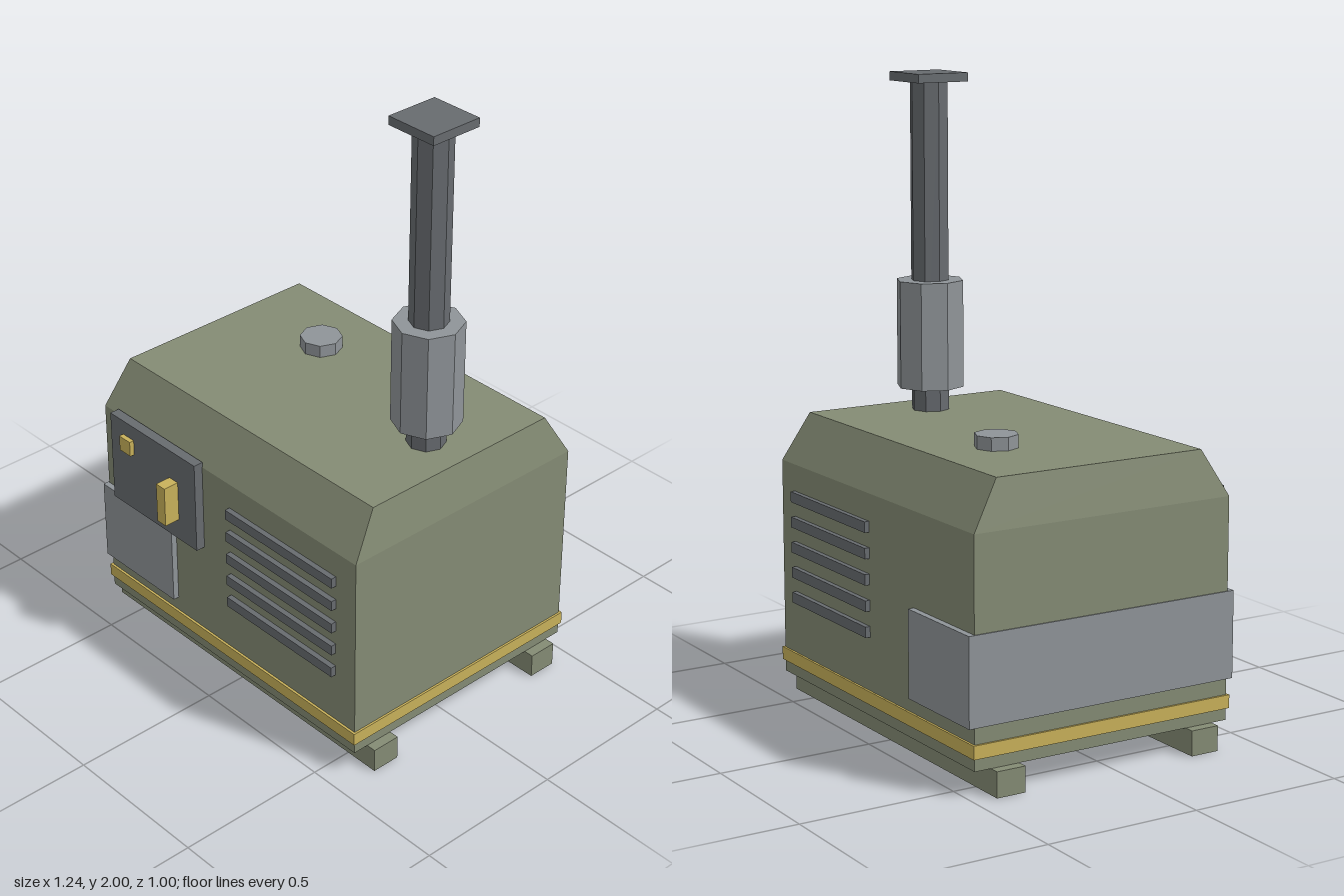
import * as THREE from 'three';

const mat = (name, color) => {
  const m = new THREE.MeshStandardMaterial({ color });
  m.name = name;
  m.flatShading = true;
  return m;
};

export function createModel() {
  const model = new THREE.Group();
  model.name = 'generator';
  const olive = mat('olive paint', 0x848b74);
  const yellow = mat('yellow paint', 0xc8b15a);
  const dark = mat('dark metal', 0x676b6f);
  const grey = mat('light metal', 0x8f9498);

  const add = (name, geometry, material) => {
    const mesh = new THREE.Mesh(geometry, material);
    mesh.name = name;
    model.add(mesh);
    return mesh;
  };
  // Box given by its extents on each axis
  const box = (name, m, x0, x1, y0, y1, z0, z1) =>
    add(name, new THREE.BoxGeometry(x1 - x0, y1 - y0, z1 - z0), m)
      .position.set((x0 + x1) / 2, (y0 + y1) / 2, (z0 + z1) / 2);
  // Eight-sided upright cylinder
  const octagon = (name, m, r, x, z, y0, y1) =>
    add(name, new THREE.CylinderGeometry(r, r, y1 - y0, 8), m)
      .position.set(x, (y0 + y1) / 2, z);

  // Housing: straight walls with a tapered roof
  const housing = new THREE.BoxGeometry(2, 2, 2, 1, 2, 1);
  const p = housing.attributes.position;
  for (let i = 0; i < p.count; i++) {
    const level = Math.round(p.getY(i));
    const top = level === 1;
    p.setXYZ(i,
      Math.sign(p.getX(i)) * (top ? 0.561 : 0.585),
      [0.08, 0.778, 0.927][level + 1],
      p.getZ(i) > 0 ? (top ? 0.325 : 0.414) : (top ? -0.391 : -0.48));
  }
  const shell = housing.toNonIndexed();
  shell.computeVertexNormals();
  add('housing', shell, olive);

  // Skids and warning stripe
  box('frontSkid', olive, -0.618, 0.618, 0, 0.08, 0.265, 0.361);
  box('rearSkid', olive, -0.618, 0.618, 0, 0.08, -0.425, -0.328);
  box('stripe', yellow, -0.592, 0.592, 0.118, 0.16, -0.487, 0.422);

  // Metal band wrapped around the right end
  box('sidePlate', grey, -0.589, -0.245, 0.21, 0.485, -0.5, 0.434);

  // Control panel with button and lever
  box('controlPanel', dark, -0.518, -0.106, 0.48, 0.795, 0.412, 0.445);
  box('button', yellow, -0.456, -0.404, 0.693, 0.745, 0.44, 0.461);
  box('lever', yellow, -0.23, -0.19, 0.555, 0.693, 0.44, 0.498);

  // Louvres on front and back
  for (let i = 0; i < 5; i++) {
    const y = 0.347 + i * 0.082;
    box('frontLouvre', dark, 0.02, 0.5, y - 0.017, y + 0.017, 0.40, 0.432);
    box('rearLouvre', dark, 0.02, 0.5, y - 0.017, y + 0.017, -0.496, -0.46);
  }

  // Fuel cap on the roof
  octagon('fuelCap', grey, 0.068, -0.209, -0.171, 0.92, 0.968);

  // Exhaust stack
  octagon('exhaustPipe', dark, 0.061, 0.411, -0.033, 0.925, 1.975);
  octagon('muffler', grey, 0.109, 0.411, -0.033, 1.002, 1.345);
  box('rainCap', dark, 0.321, 0.501, 1.972, 2, -0.123, 0.056);

  return model;
}
